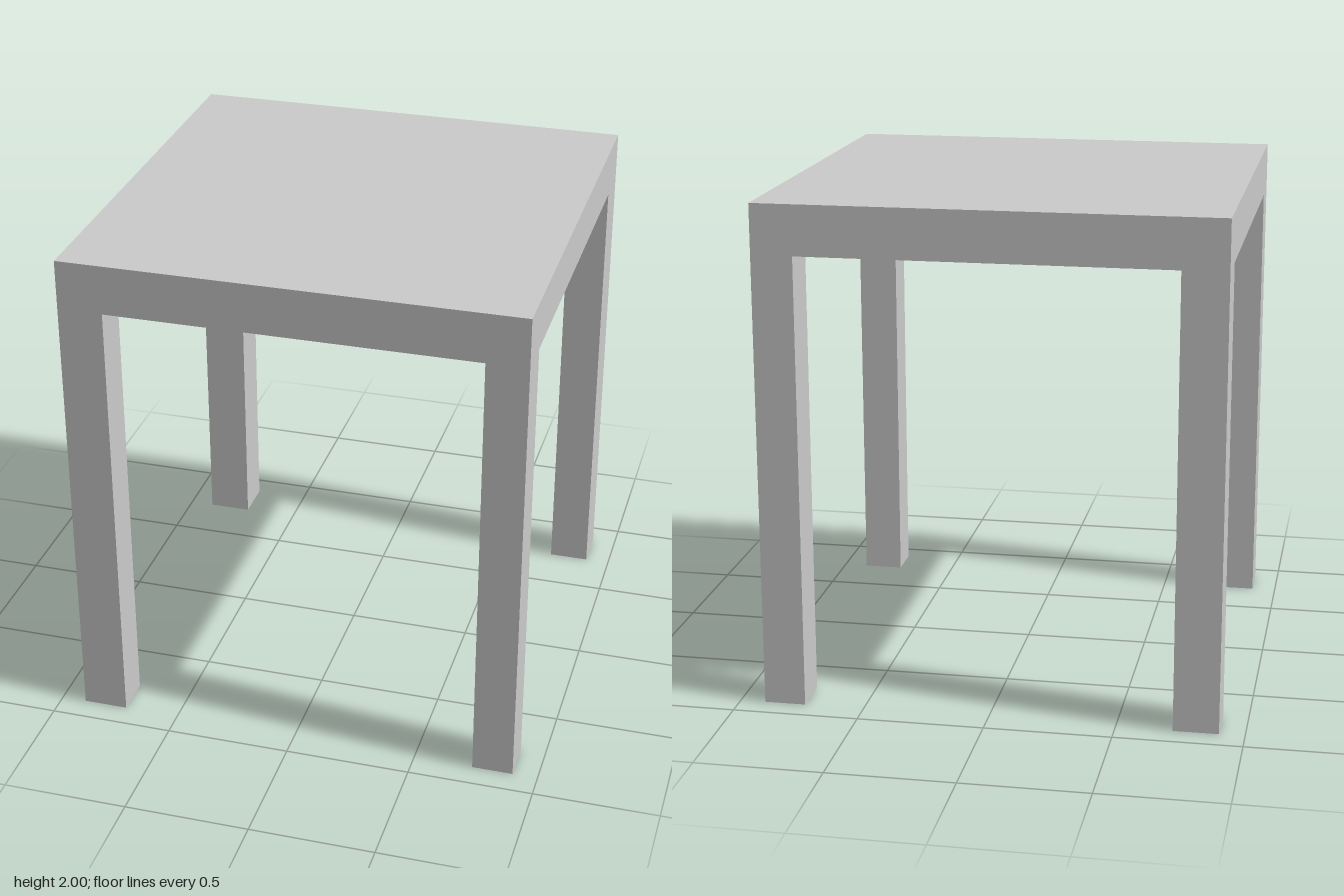
import * as THREE from 'three';

const material = new THREE.MeshStandardMaterial({ color: 0xcccccc, flatShading: true });

// Box spanning two opposite corners
function boxBetween(name, [x0, y0, z0], [x1, y1, z1]) {
  const geometry = new THREE.BoxGeometry(x1 - x0, y1 - y0, z1 - z0);
  const mesh = new THREE.Mesh(geometry, material);
  mesh.position.set((x0 + x1) / 2, (y0 + y1) / 2, (z0 + z1) / 2);
  mesh.name = name;
  return mesh;
}

export function createModel() {
  const table = new THREE.Group();
  table.name = 'table';

  const half = 0.9;
  const height = 2;
  const underside = 1.803;

  // Thick square top
  table.add(boxBetween('tableTop', [-half, underside, -half], [half, height, half]));

  // Corner legs, flush with the edges; slightly thicker on the right and back
  const spansX = { Left: [0.737, half], Right: [-half, -0.722] };
  const spansZ = { front: [0.739, half], back: [-half, -0.722] };
  for (const [side, [x0, x1]] of Object.entries(spansX)) {
    for (const [end, [z0, z1]] of Object.entries(spansZ)) {
      table.add(boxBetween(`${end}${side}Leg`, [x0, 0, z0], [x1, underside, z1]));
    }
  }

  return table;
}
